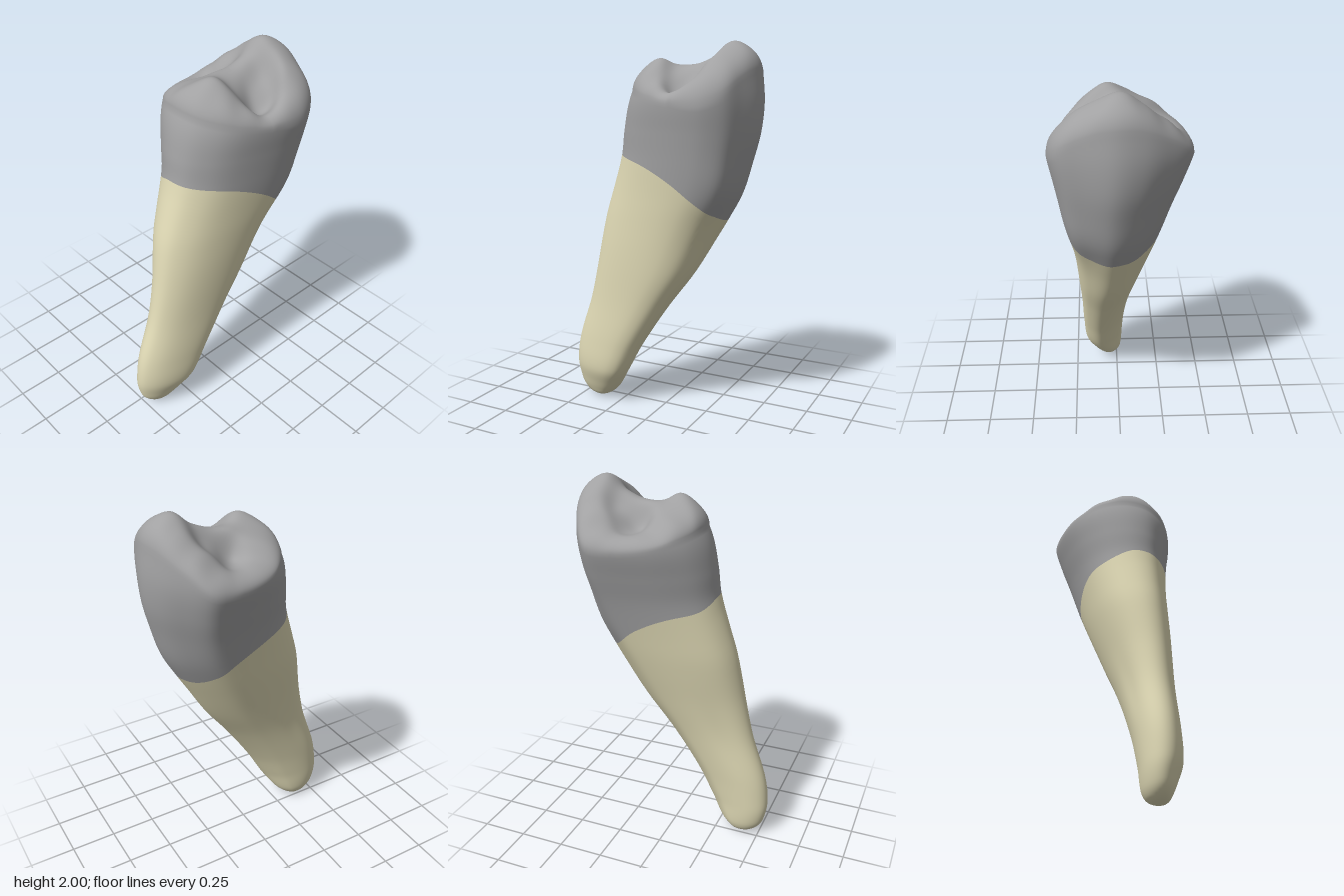
import * as THREE from 'three';

const SIDES = 96;
const { lerp, clamp, smoothstep } = THREE.MathUtils;

// Extents by height: y, min x, max x, front z, back z
const LEVELS = [
  [0, 0.05, 0.05, 0.40, 0.40], [0.015, 0.005, 0.09, 0.455, 0.345], [0.05, -0.02, 0.115, 0.50, 0.295],
  [0.1, -0.03, 0.14, 0.525, 0.252], [0.2, -0.035, 0.182, 0.54, 0.188], [0.36, -0.045, 0.195, 0.518, 0.1],
  [0.6, -0.07, 0.205, 0.437, -0.055], [0.8, -0.11, 0.22, 0.39, -0.2], [1.0, -0.16, 0.235, 0.352, -0.318],
  [1.1, -0.185, 0.245, 0.33, -0.376], [1.24, -0.217, 0.264, 0.286, -0.45], [1.41, -0.26, 0.294, 0.235, -0.5],
  [1.55, -0.305, 0.32, 0.217, -0.532], [1.7, -0.349, 0.347, 0.184, -0.54], [1.85, -0.349, 0.347, 0.115, -0.525],
];

// Crown outline seen from above, scaled to a -1..1 box
const OUTLINE = [
  [-1, -0.26], [-0.96, -0.48], [-0.61, -0.75], [-0.29, -0.92], [0.09, -1], [0.55, -0.88], [0.83, -0.75],
  [0.98, -0.52], [1, -0.29], [0.92, 0.07], [0.73, 0.53], [0.54, 0.77], [0.28, 0.95], [0, 1],
  [-0.28, 0.95], [-0.54, 0.81], [-0.81, 0.51], [-0.94, 0.2],
];
const outline = new THREE.CatmullRomCurve3(OUTLINE.map(([u, w]) => new THREE.Vector3(u, 0, w)), true)
  .getSpacedPoints(SIDES).slice(0, SIDES);

// Local swellings and hollows of the wall: angle, angular width, amount, y, height
const SWELLS = [
  [2.65, 0.28, -0.045, 0.62, 0.2], // flute along the root
  [-0.75, 0.4, 0.065, 1.27, 0.17], // back corner under the crown
  [2.3, 0.4, 0.035, 1.15, 0.3], // front corner at the neck
];

// Height of the neck line, from back (0) to front (1)
const NECK = [[0, 1.1], [0.19, 1.19], [0.44, 1.3], [0.71, 1.38], [1, 1.42]];

// Chewing surface: x, z, height of cusps, ridges and pits
const RELIEF = [
  [0, -0.39, 2.025], [-0.1, -0.39, 1.955], [0.1, -0.39, 1.975], [-0.2, -0.36, 1.88], [0.2, -0.39, 1.935],
  [0.28, -0.37, 1.88], [-0.29, -0.3, 1.8], [0, -0.48, 1.99],
  [0, -0.28, 1.93], [0, -0.18, 1.89], [0.03, -0.1, 1.89],
  [0.06, 0.02, 1.96], [-0.03, 0, 1.88], [0.14, 0.01, 1.9], [0.22, -0.04, 1.82], [-0.12, -0.01, 1.845],
  [-0.22, -0.07, 1.775], [0.05, 0.1, 1.9], [0.16, 0.08, 1.87],
  [0.18, -0.18, 1.69], [-0.16, -0.17, 1.74], [0.12, -0.25, 1.83], [-0.12, -0.26, 1.84], [0.1, -0.12, 1.82],
  [0.3, -0.17, 1.77], [-0.31, -0.18, 1.77], [0.31, -0.27, 1.83],
];

// Smooth curve through table rows, keyed by column 0
function sample(table, key, col) {
  const last = table.length - 1;
  let i = 0;
  while (i < last - 1 && key > table[i + 1][0]) i++;
  const slope = k => {
    const a = table[Math.max(k - 1, 0)], b = table[Math.min(k + 1, last)];
    return (b[col] - a[col]) / (b[0] - a[0]);
  };
  const [p, q] = [table[i], table[i + 1]];
  const h = q[0] - p[0];
  const t = clamp((key - p[0]) / h, 0, 1);
  const t2 = t * t, t3 = t2 * t;
  return (2 * t3 - 3 * t2 + 1) * p[col] + (t3 - 2 * t2 + t) * h * slope(i)
    + (3 * t2 - 2 * t3) * q[col] + (t3 - t2) * h * slope(i + 1);
}

// Point on the outer wall: rounder towards the root, with a tip whose front edge leans to -x
function wallPoint(i, y) {
  const { x: u, z: w } = outline[i];
  const angle = Math.atan2(w, u);
  const blend = lerp(0.45, 1, smoothstep(y, 0.8, 1.6));
  let scale = 1;
  for (const [at, width, amount, level, height] of SWELLS) {
    scale += amount * Math.exp(-(((angle - at) / width) ** 2) - ((y - level) / height) ** 2);
  }
  const a = lerp(Math.cos(angle), u, blend) * scale;
  const b = lerp(Math.sin(angle), w, blend) * scale;
  const [x0, x1, zf, zb] = [1, 2, 3, 4].map(c => sample(LEVELS, y, c));
  const lean = 0.025 * b * smoothstep(y, 0, 0.2) * (1 - smoothstep(y, 0.3, 1));
  return [lerp(x0, x1, (a + 1) / 2) - lean, y, lerp(zb, zf, (b + 1) / 2)];
}

// The neck dips a little on the -x side
const neckHeight = i =>
  sample(NECK, (outline[i].z + 1) / 2, 1) - 0.045 * smoothstep(-outline[i].x, 0, 0.7);

function rimHeight(i) {
  const { x: u, z: w } = outline[i];
  return 1.68 + (w < 0 ? 0.16 : 0.08) * (1 - u * u);
}

function reliefHeight(x, z) {
  let sum = 0, total = 0;
  for (const [px, pz, h] of RELIEF) {
    const weight = Math.exp(-((x - px) ** 2 + (z - pz) ** 2) / (2 * 0.05 ** 2));
    sum += weight * h;
    total += weight;
  }
  return sum / total;
}

// Chewing surface: rings shrinking from the rim to the middle, rounded over at the edge,
// more softly at the front
function topPoint(i, s) {
  const [rx, ry, rz] = wallPoint(i, rimHeight(i));
  const x = rx * s, z = lerp(-0.17, rz, s);
  const power = lerp(5, 3.6, clamp(outline[i].z, 0, 1));
  return [x, lerp(ry, reliefHeight(x, z), Math.sqrt(1 - s ** power)), z];
}

// Closed loft over rows of rings
function loft(rows, pointAt) {
  const positions = [], index = [];
  for (let j = 0; j <= rows; j++) {
    for (let i = 0; i < SIDES; i++) {
      positions.push(...pointAt(i, j));
      if (j === rows) continue;
      const a = j * SIDES + i, b = j * SIDES + (i + 1) % SIDES;
      index.push(a, a + SIDES, b, b, a + SIDES, b + SIDES);
    }
  }
  const geometry = new THREE.BufferGeometry();
  geometry.setAttribute('position', new THREE.Float32BufferAttribute(positions, 3));
  geometry.setIndex(index);
  geometry.computeVertexNormals();
  return geometry;
}

export function createModel() {
  const group = new THREE.Group();
  group.name = 'tooth';
  const dentine = new THREE.MeshStandardMaterial({ color: 0xded8b4 });
  dentine.name = 'cream dentine';
  const enamel = new THREE.MeshStandardMaterial({ color: 0xa1a1a2 });
  enamel.name = 'grey enamel';

  // Root, from the tip up to the neck line
  const rootRows = 48;
  const root = new THREE.Mesh(
    loft(rootRows, (i, j) => wallPoint(i, neckHeight(i) * (j / rootRows) ** 1.7)), dentine);
  root.name = 'root';

  // Crown, wall then chewing surface
  const wallRows = 20, topRows = 36;
  const crown = new THREE.Mesh(loft(wallRows + topRows, (i, j) => {
    if (j <= wallRows) return wallPoint(i, lerp(neckHeight(i), rimHeight(i), j / wallRows));
    const t = (j - wallRows) / topRows;
    return topPoint(i, 1 - t ** 1.4);
  }), enamel);
  crown.name = 'crown';

  group.add(root, crown);
  return group;
}
